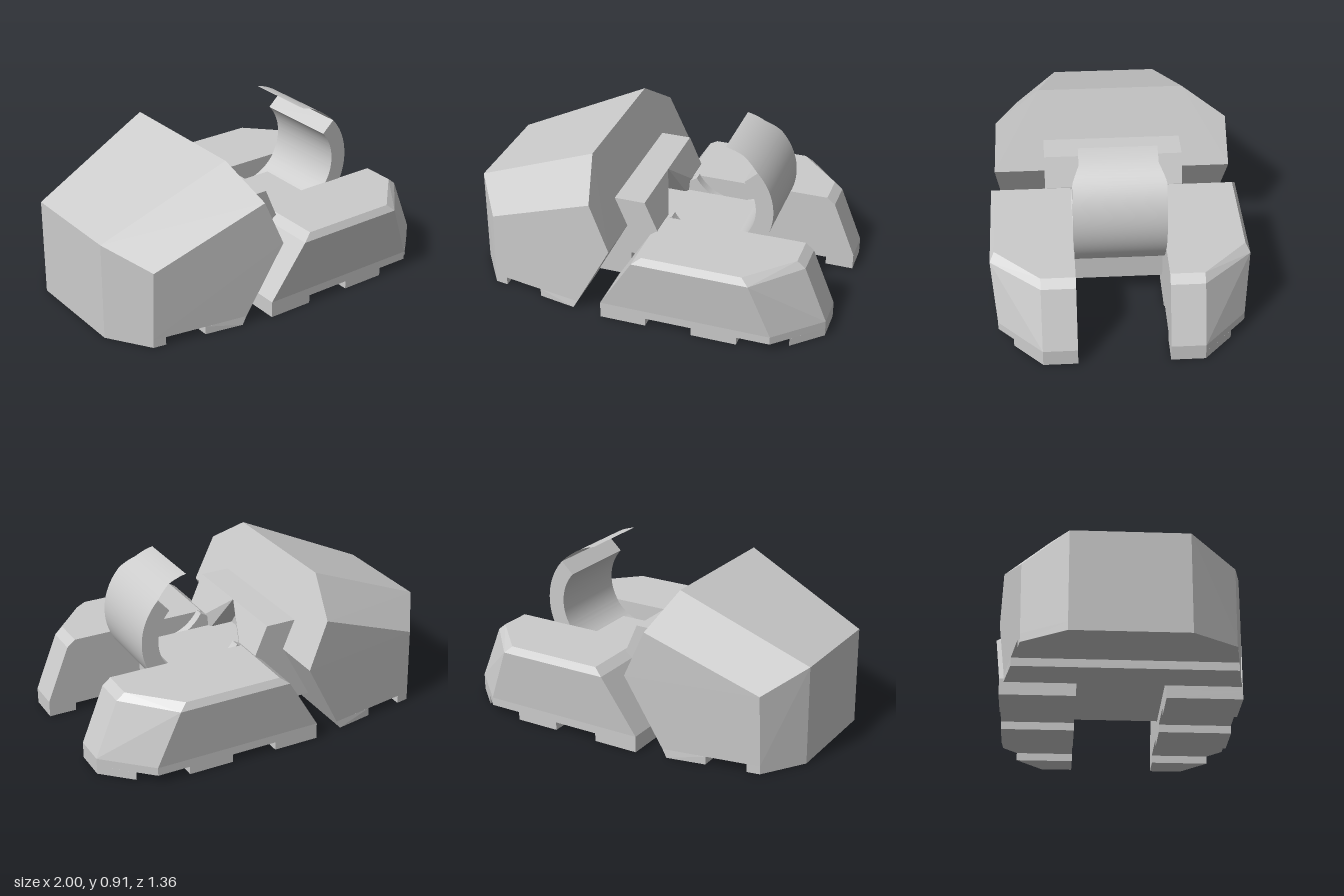
import * as THREE from 'three';
import { ConvexGeometry } from 'three/addons/geometries/ConvexGeometry.js';
import { toCreasedNormals } from 'three/addons/utils/BufferGeometryUtils.js';

const V = (x, y, z) => new THREE.Vector3(x, y, z);
const rad = THREE.MathUtils.degToRad;

export function createModel() {
  const model = new THREE.Group();
  const grey = new THREE.MeshStandardMaterial({ color: 0xcccccc, flatShading: true });
  const smooth = new THREE.MeshStandardMaterial({ color: 0xcccccc, side: THREE.DoubleSide });

  const add = (name, geometry, material = grey, parent = model) => {
    const mesh = new THREE.Mesh(geometry, material);
    mesh.name = name;
    parent.add(mesh);
    return mesh;
  };
  const hull = (name, points, parent) => add(name, new ConvexGeometry(points), grey, parent);
  // convex block mirrored about z = 0, from points on the +z side
  const mirrored = (name, pts) =>
    hull(name, pts.flatMap(([x, y, z]) => [V(x, y, z), V(x, y, -z)]));
  const box = (name, x0, x1, y0, y1, z) =>
    add(name, new THREE.BoxGeometry(x1 - x0, y1 - y0, 2 * z)).position.set((x0 + x1) / 2, (y0 + y1) / 2, 0);

  // rear hull with two ground pads separated by a groove
  const groove = 0.045;
  mirrored('rearHull', [
    [-1, groove, 0.3], [-0.85, groove, 0.53], [-0.326, groove, 0.62],
    [-1, 0.54, 0.3], [-0.84, 0.43, 0.535], [-0.12, 0.43, 0.66],
    [-0.23, 0.685, 0.642], [-0.3, 0.85, 0.4],
  ]);
  const pad = (name, pts) => mirrored(name, pts.flatMap(([x, z, xt = x]) => [[x, 0, z], [xt, groove, z]]));
  pad('rearHullBackPad', [[-1, 0.3], [-0.85, 0.53], [-0.78, 0.542]]);
  pad('rearHullFrontPad', [[-0.56, 0.58], [-0.35, 0.62, -0.326]]);

  // neck joining hull and tracks, with a triangular opening to the cockpit
  mirrored('neckCore', [
    [-0.29, 0.115, 0.38], [-0.1, 0.115, 0.38], [-0.1, 0.59, 0.38], [-0.26, 0.59, 0.38],
  ]);
  for (const s of [1, -1]) {
    hull('neckCheek', [
      [-0.1, 0.59, 0], [-0.02, 0.59, 0], [-0.1, 0.59, 0.38], [-0.02, 0.59, 0.38],
      [-0.1, 0.43, 0.2], [0.05, 0.43, 0.2], [0.05, 0.43, 0.38],
      [-0.1, 0.26, 0.24], [0.05, 0.26, 0.24], [-0.1, 0.26, 0.38], [0.05, 0.26, 0.38],
    ].map(([x, y, z]) => V(x, y, s * z)));
  }

  // chassis between the tracks and the cockpit floor
  box('chassis', -0.29, 0.45, 0.112, 0.26, 0.242);
  box('cockpitFloor', -0.12, 0.45, 0.25, 0.36, 0.19);

  // track pods: plan outline at each height, inner wall at z = 0.24
  const inner = 0.24;
  const plan = (y, back, side, cornerX, front, frontZ = 0.42) => [
    [back, y, inner], [back, y, side], [cornerX, y, side], [front, y, frontZ], [front, y, inner],
  ];
  for (const s of [1, -1]) {
    const pod = new THREE.Group();
    pod.name = s > 0 ? 'leftTrack' : 'rightTrack';
    model.add(pod);
    const block = (name, pts) => hull(name, pts.map(([x, y, z]) => V(x, y, s * z)), pod);
    block('trackCover', [
      ...plan(0.09, -0.18, 0.65, 0.76, 1),
      ...plan(0.398, 0.01, 0.68, 0.64, 0.875),
      ...plan(0.435, 0.06, 0.657, 0.6, 0.83),
    ]);
    block('trackBase', [groove, 0.09].flatMap((y) => plan(y, -0.18, 0.65, 0.76, 1)));
    for (const [a, b] of [[-0.18, 0.075], [0.33, 0.58]]) {
      block('trackPad', [0, groove].flatMap((y) =>
        [[a, y, inner], [a, y, 0.65], [b, y, inner], [b, y, 0.65]]));
    }
    block('trackFrontPad', [0, groove].flatMap((y) =>
      [[0.845, y, inner], [0.845, y, 0.569], [1, y, 0.42], [1, y, inner]]));
  }

  // curved cockpit shield: arc of a thick ring
  const cx = 0.302, cy = 0.57, rOut = 0.345, rIn = 0.25;
  const arc = (name, from, to, z0, z1) => {
    const shape = new THREE.Shape();
    shape.absarc(cx, cy, rOut, rad(from), rad(to), false);
    shape.absarc(cx, cy, rIn, rad(to), rad(from), true);
    const geo = new THREE.ExtrudeGeometry(shape, { depth: z1 - z0, bevelEnabled: false, curveSegments: 28 });
    geo.translate(0, 0, z0);
    add(name, toCreasedNormals(geo, rad(30)), smooth);
  };
  arc('shield', -70, 43, -0.242, 0.242);
  arc('cockpitRim', -150, -70, 0.19, 0.242);
  arc('cockpitRim', -150, -70, -0.242, -0.19);

  // thin visor continuing the shield's outer face, narrowing upward
  const visor = new THREE.CylinderGeometry(rOut, rOut, 2, 12, 1, true, rad(11), rad(36));
  visor.rotateX(-Math.PI / 2);
  const p = visor.attributes.position;
  for (let i = 0; i < p.count; i++) {
    const t = THREE.MathUtils.clamp((p.getX(i) - 0.168) / 0.08, 0, 1);
    p.setZ(i, p.getZ(i) * (0.205 + 0.037 * t));
  }
  visor.translate(cx, cy, 0);
  add('visor', visor, smooth);

  return model;
}
